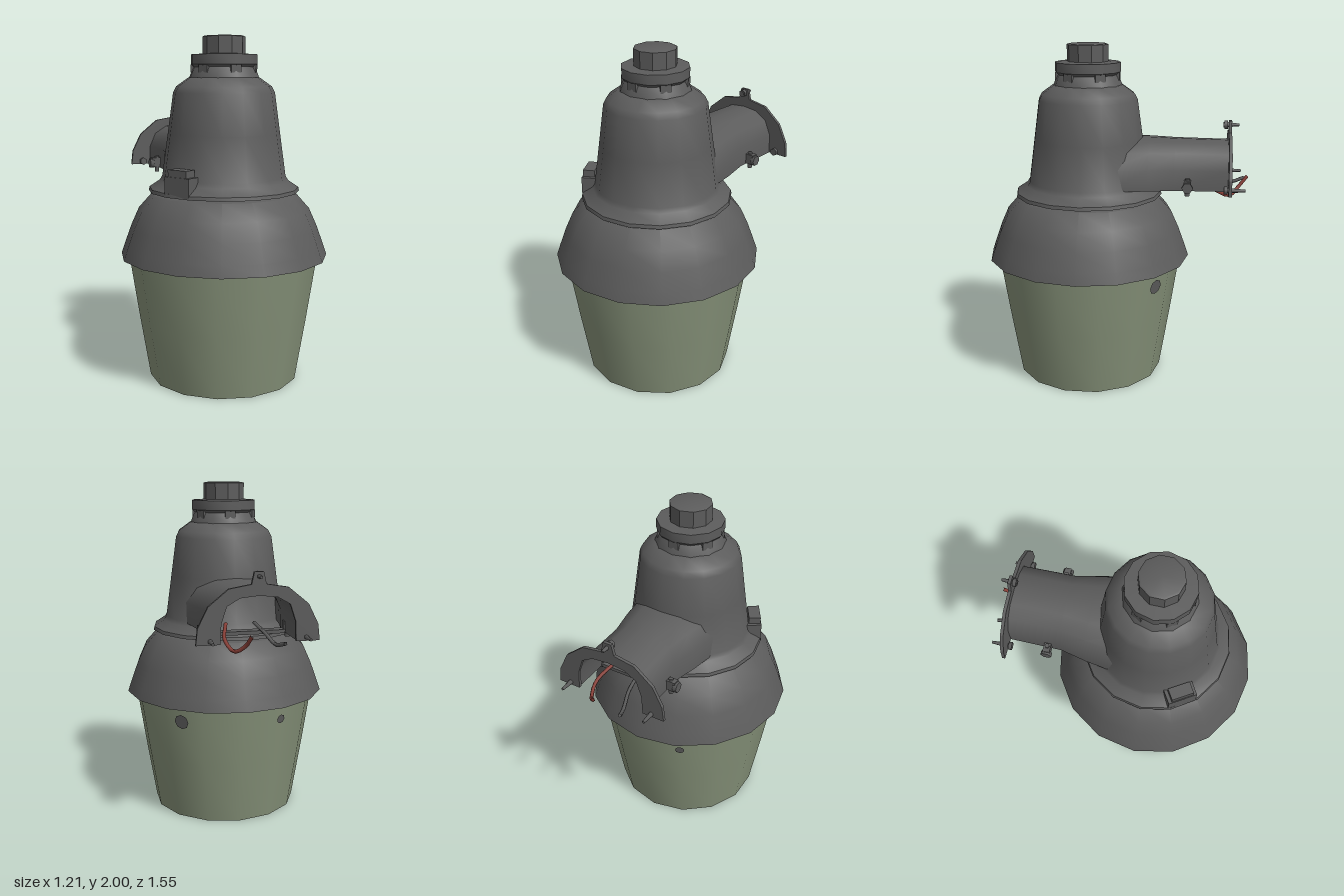
import * as THREE from 'three';
import { toCreasedNormals } from 'three/addons/utils/BufferGeometryUtils.js';

const AXIS_Z = 0.17; // the lamp body stands forward of the mounting arm

function material(name, color, side = THREE.FrontSide) {
  const m = new THREE.MeshStandardMaterial({ color, side });
  m.name = name;
  return m;
}

export function createModel() {
  const group = new THREE.Group();
  const metal = material('dark grey metal', 0x5c5c5c, THREE.DoubleSide);
  const glass = material('grey green lens', 0x87937a, THREE.DoubleSide);
  const red = material('red wire', 0x8a4038);

  function add(name, geometry, mat, x = 0, y = 0, z = 0, parent = group) {
    const mesh = new THREE.Mesh(geometry, mat);
    mesh.name = name;
    mesh.position.set(x, y, z);
    parent.add(mesh);
    return mesh;
  }

  // Turned part around the lamp axis, from [radius, height] pairs
  function turned(name, profile, sides, mat, crease = 0.62) {
    const points = profile.map(([r, y]) => new THREE.Vector2(r, y));
    const geometry = toCreasedNormals(new THREE.LatheGeometry(points, sides), crease);
    return add(name, geometry, mat, 0, 0, AXIS_Z);
  }

  // Surface through matching cross-sections
  function loft(sections) {
    const n = sections[0].length;
    const index = [];
    for (let i = 0; i < sections.length - 1; i++) {
      for (let j = 0; j < n - 1; j++) {
        const a = i * n + j, b = a + n;
        index.push(a, a + 1, b, b, a + 1, b + 1);
      }
    }
    const geometry = new THREE.BufferGeometry();
    geometry.setAttribute('position', new THREE.Float32BufferAttribute(sections.flat(2), 3));
    geometry.setIndex(index);
    return toCreasedNormals(geometry, 0.7);
  }

  // Open-bottomed lens, hood and tapered housing
  turned('lens', [[0.44, 0.005], [0.5, 0.37], [0.555, 0.73]], 14, glass, 0.8);
  turned('hood', [[0.545, 0.735], [0.607, 0.735], [0.585, 0.8], [0.545, 0.91],
    [0.5, 1.01], [0.42, 1.1], [0.36, 1.115]], 16, metal);
  turned('housing', [[0.36, 1.115], [0.44, 1.115], [0.435, 1.135], [0.375, 1.175], [0.36, 1.2],
    [0.325, 1.45], [0.293, 1.68], [0.275, 1.715], [0.205, 1.765], [0.17, 1.77]], 16, metal);

  // Light sensor on top
  turned('sensorNeck', [[0.205, 1.76], [0.185, 1.81], [0.165, 1.84]], 12, metal);
  turned('sensorCollar', [[0.15, 1.83], [0.18, 1.825], [0.193, 1.84], [0.193, 1.895], [0.11, 1.9]], 12, metal);
  turned('sensorCap', [[0.122, 1.89], [0.122, 1.995], [0.11, 2], [0, 2]], 10, metal);
  for (let i = 0; i < 6; i++) {
    const a = (i / 6) * Math.PI * 2;
    const tab = add('sensorTab', new THREE.BoxGeometry(0.06, 0.045, 0.02), metal,
      0.178 * Math.sin(a), 1.815, AXIS_Z + 0.178 * Math.cos(a));
    tab.rotation.y = a;
  }

  // Hollow arm, arched on top and open underneath
  const arch = [[-1, 0], [-0.98, 0.45], [-0.8, 0.78], [-0.45, 0.96], [0, 1],
    [0.45, 0.96], [0.8, 0.78], [0.98, 0.45], [1, 0]];
  const stations = [[0.05, 0.29, 1.46], [-0.2, 0.25, 1.46], [-0.35, 0.215, 1.455], [-0.655, 0.212, 1.45]];
  add('arm', loft(stations.map(([z, w, top]) =>
    arch.map(([u, v]) => [u * w, 1.19 + v * (top - 1.19), z]))), metal);

  // Arched flange at the end of the arm
  const outline = [[0.335, 1.19], [0.325, 1.28], [0.27, 1.39], [0.16, 1.48], [0.04, 1.5], [0.025, 1.565]];
  const opening = [[0, 1.44], [0.1, 1.43], [0.17, 1.39], [0.2, 1.3], [0.205, 1.19]];
  const mirror = (list) => list.map(([x, y]) => [-x, y]).reverse();
  const flangeShape = new THREE.Shape([...outline, ...mirror(outline), ...mirror(opening), ...opening.slice(1)]
    .map(([x, y]) => new THREE.Vector2(x, y)));
  add('flange', new THREE.ExtrudeGeometry(flangeShape, { depth: 0.018, bevelEnabled: false }), metal, 0, 0, -0.673);

  // Pins through the flange
  function pin(x, y, length, z) {
    const shaft = add('flangePin', new THREE.CylinderGeometry(0.016, 0.008, length, 6), metal, x, y, z);
    shaft.rotation.x = Math.PI / 2;
    const head = add('pinHead', new THREE.CylinderGeometry(0.024, 0.024, 0.02, 6), metal, x, y, -0.64);
    head.rotation.x = Math.PI / 2;
  }
  pin(0, 1.54, 0.09, -0.67);
  for (const side of [-1, 1]) {
    pin(side * 0.26, 1.21, 0.12, -0.69);

    // Clamp lug and bolt on each side of the arm
    add('clampLug', new THREE.BoxGeometry(0.06, 0.06, 0.04), metal, side * 0.235, 1.225, -0.425);
    const bolt = add('clampBolt', new THREE.CylinderGeometry(0.032, 0.032, 0.025, 6), metal, side * 0.265, 1.22, -0.425);
    bolt.rotation.z = Math.PI / 2;
    add('clampStud', new THREE.CylinderGeometry(0.014, 0.014, 0.1, 6), metal, side * 0.23, 1.215, -0.425);
  }
  add('clampBar', new THREE.BoxGeometry(0.42, 0.02, 0.06), metal, 0, 1.2, -0.425);

  // Loose wires hanging out of the arm
  function wire(name, points, mat) {
    const path = new THREE.CatmullRomCurve3(points.map((p) => new THREE.Vector3(...p)));
    add(name, new THREE.TubeGeometry(path, 14, 0.011, 5), mat);
  }
  wire('redWire', [[0.12, 1.25, -0.42], [0.16, 1.19, -0.58], [0.13, 1.15, -0.67], [0.08, 1.19, -0.72], [0.06, 1.25, -0.77]], red);
  wire('greyWire', [[-0.04, 1.25, -0.42], [-0.06, 1.22, -0.58], [-0.09, 1.18, -0.68], [-0.12, 1.2, -0.76]], metal);

  // Latch on the housing's front right
  const latch = new THREE.Group();
  latch.name = 'latch';
  latch.position.set(-0.33, 1.12, 0.375);
  latch.rotation.y = -1.02;
  group.add(latch);
  add('latchBase', new THREE.BoxGeometry(0.17, 0.11, 0.1), metal, 0, 0.055, -0.01, latch);
  add('latchBlock', new THREE.BoxGeometry(0.13, 0.06, 0.07), metal, 0, 0.12, 0, latch);

  // Dark patches on the back of the lens
  function patch(x, z, radius) {
    const spot = add('lensPatch', new THREE.CircleGeometry(radius, 8), metal, x, 0.65, z + AXIS_Z);
    spot.rotation.order = 'YXZ';
    spot.rotation.set(0.15, Math.atan2(x, z), 0);
  }
  patch(0.346, -0.428, 0.045);
  patch(-0.23, -0.5, 0.028);

  return group;
}
